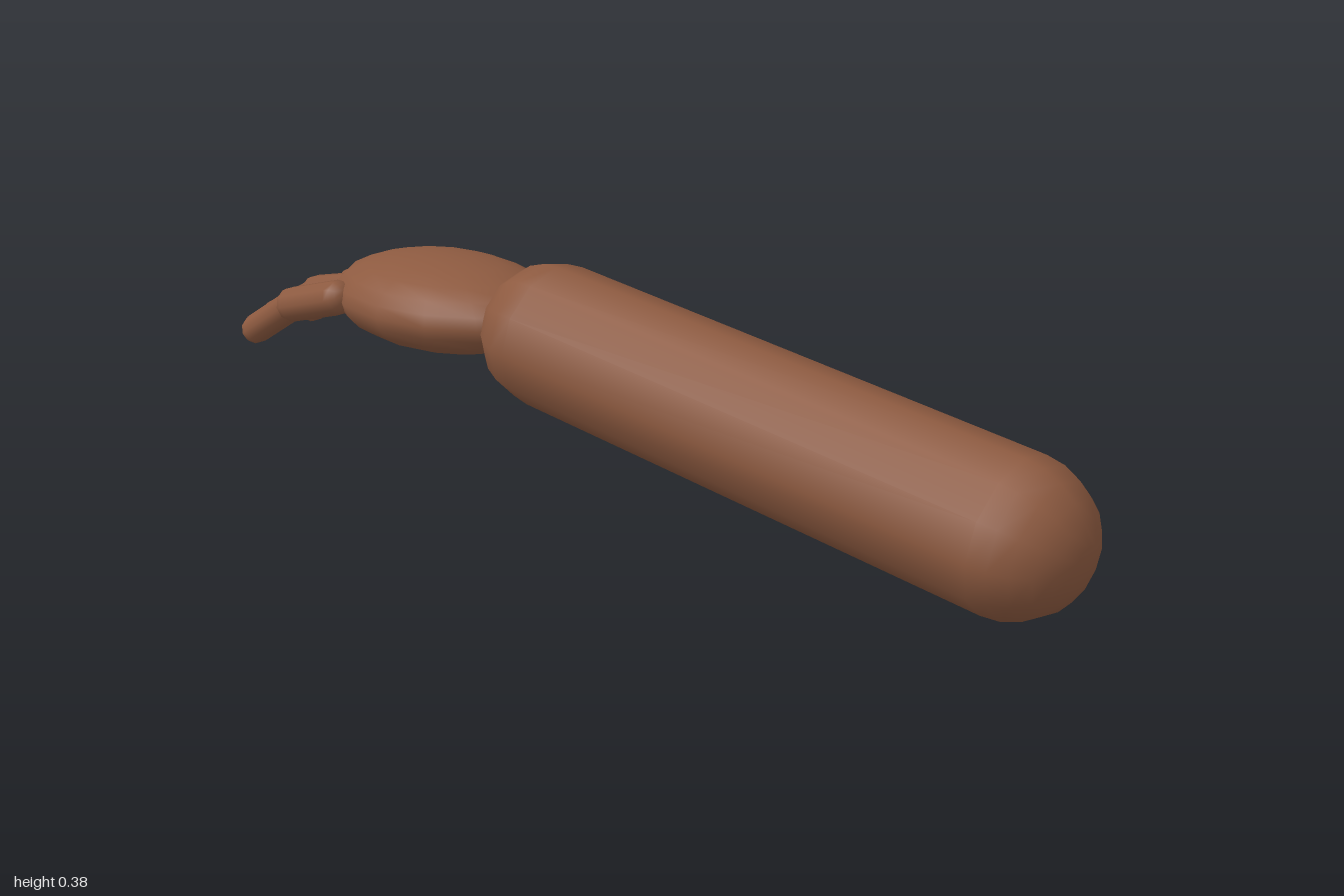
import * as THREE from 'three';

const skin = new THREE.MeshStandardMaterial({ color: 0x8d5a40 });
const UP = new THREE.Vector3(0, 1, 0);

// Round-ended limb segment whose cap centres sit at points a and b
function segment(name, a, b, radius, sides = 10, capSteps = 4) {
  const start = new THREE.Vector3(...a);
  const dir = new THREE.Vector3(...b).sub(start);
  const geometry = new THREE.CapsuleGeometry(radius, dir.length(), capSteps, sides);
  const mesh = new THREE.Mesh(geometry, skin);
  mesh.name = name;
  mesh.position.copy(start).addScaledVector(dir, 0.5);
  mesh.quaternion.setFromUnitVectors(UP, dir.normalize());
  return mesh;
}

// Two-part digit: base, knuckle and tip
function digit(name, base, knuckle, tip, r1, r2) {
  const group = new THREE.Group();
  group.name = name;
  group.add(
    segment(name + 'Base', base, knuckle, r1),
    segment(name + 'Tip', knuckle, tip, r2)
  );
  return group;
}

export function createModel() {
  const arm = new THREE.Group();
  arm.name = 'arm';

  // Forearm, rising towards the wrist
  arm.add(segment('forearm', [-0.022, 0.14, 0.862], [-0.06, 0.245, -0.155], 0.139, 12, 6));

  // Palm: flattened ellipsoid
  const palm = new THREE.Mesh(new THREE.SphereGeometry(1, 14, 12), skin);
  palm.name = 'palm';
  palm.scale.set(0.176, 0.092, 0.278);
  palm.position.set(-0.06, 0.248, -0.466);
  palm.rotation.x = -0.04;
  arm.add(palm);

  // Fingers: x, knuckle z, tip z
  const fingers = [
    ['littleFinger', -0.194, -0.785, -0.92],
    ['ringFinger', -0.108, -0.815, -0.968],
    ['middleFinger', -0.022, -0.805, -0.954],
    ['indexFinger', 0.064, -0.755, -0.878],
  ];
  for (const [name, x, knuckleZ, tipZ] of fingers) {
    arm.add(digit(name, [x, 0.243, -0.64], [x, 0.197, knuckleZ], [x, 0.113, tipZ], 0.036, 0.031));
  }

  // Thumb, bent outwards then back in
  arm.add(digit('thumb', [0.108, 0.248, -0.35], [0.193, 0.169, -0.535], [0.128, 0.087, -0.656], 0.043, 0.035));

  return arm;
}
